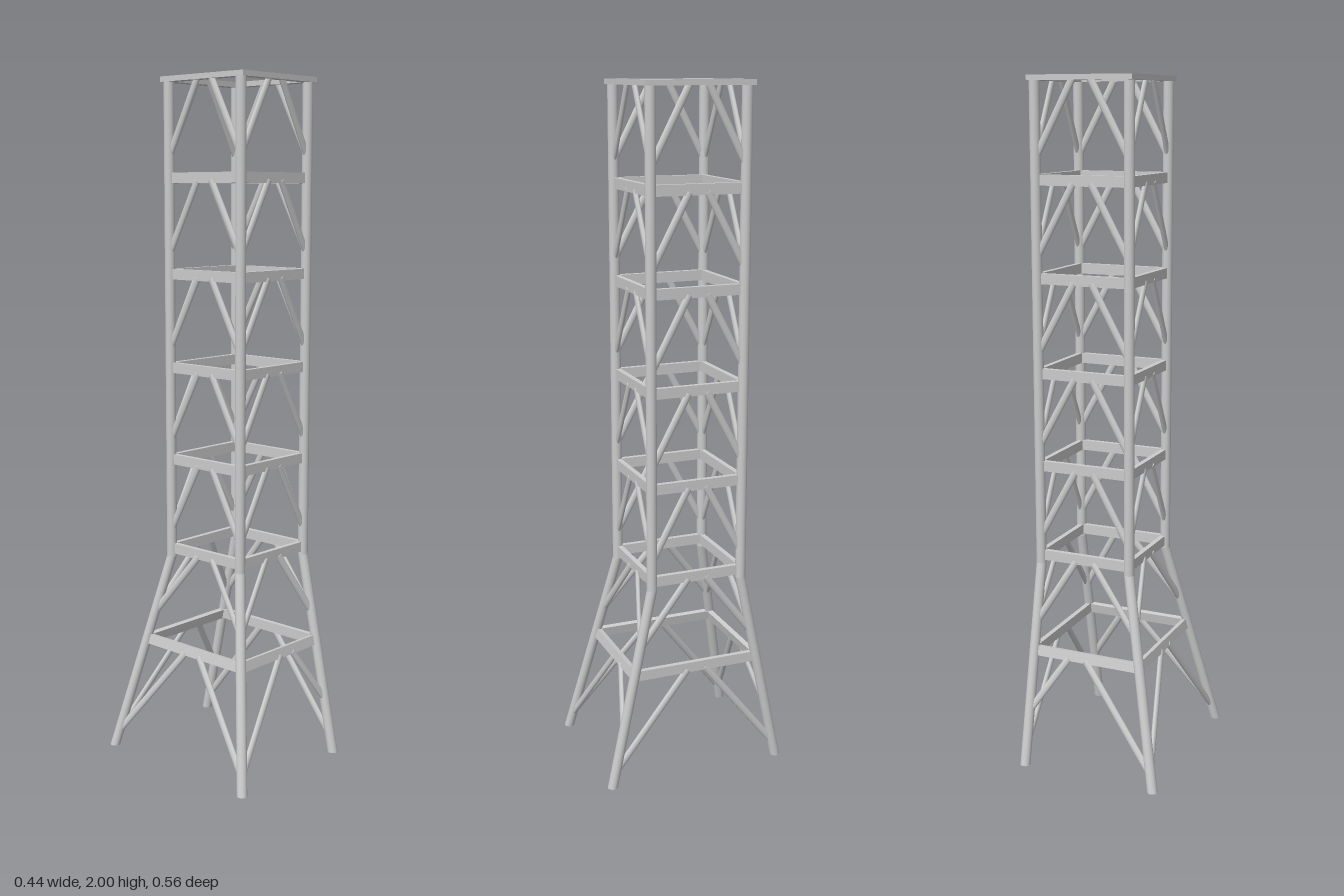
import * as THREE from 'three';

const V = (x, y, z) => new THREE.Vector3(x, y, z);
const LEG_R = 0.015, BEND = 0.6, TOP = 2;
const XL = -0.079, XR = 0.205; // leg centrelines above the bend
const LEG_Z = 0.138, FRAME_Z = 0.143;

// Each leg: foot position and bend position, in order round the tower
const LEGS = [
  { foot: V(-0.207, 0, 0.263), knee: V(XL, BEND, LEG_Z) },
  { foot: V(XR, 0, 0.263), knee: V(XR, BEND, LEG_Z) },
  { foot: V(XR, 0, -0.263), knee: V(XR, BEND, -LEG_Z) },
  { foot: V(-0.207, 0, -0.263), knee: V(XL, BEND, -LEG_Z) },
];

// Point on a leg's centreline at height y
function legAt(leg, y) {
  const p = leg.foot.clone().lerp(leg.knee, Math.min(y / BEND, 1));
  p.y = y;
  return p;
}

export function createModel() {
  const group = new THREE.Group();
  const mat = new THREE.MeshStandardMaterial({ color: 0xcccccc });

  const add = (geo, name) => {
    const mesh = new THREE.Mesh(geo, mat);
    mesh.name = name;
    group.add(mesh);
    return mesh;
  };

  // Leg section with level ends: an upright cylinder sheared along its axis
  const legSection = (a, b, name) => {
    const h = b.y - a.y;
    const geo = new THREE.CylinderGeometry(LEG_R, LEG_R, h, 24);
    geo.applyMatrix4(new THREE.Matrix4().set(
      1, (b.x - a.x) / h, 0, 0,
      0, 1, 0, 0,
      0, (b.z - a.z) / h, 1, 0,
      0, 0, 0, 1));
    add(geo, name).position.copy(a).lerp(b, 0.5);
  };

  // Lay a member from a to b: its x runs along, its y follows up, its z faces outward
  const member = (makeGeo, a, b, up, inset, name) => {
    const along = b.clone().sub(a);
    const mesh = add(makeGeo(along.length()), name);
    along.normalize();
    const u = up.clone().addScaledVector(along, -up.dot(along)).normalize();
    const out = along.clone().cross(u);
    mesh.quaternion.setFromRotationMatrix(new THREE.Matrix4().makeBasis(along, u, out));
    mesh.position.copy(a).lerp(b, 0.5).addScaledVector(out, -inset);
  };
  const barGeo = (len) => new THREE.BoxGeometry(len, 0.03, 0.015);
  // Braces are oval rods, wider in the plane of the face
  const braceGeo = (len) => new THREE.CylinderGeometry(1, 1, len, 20)
    .rotateZ(-Math.PI / 2).scale(1, 0.0105, 0.007);

  // Legs: splayed lower part, vertical upper part
  for (const leg of LEGS) {
    legSection(leg.foot, leg.knee, 'lowerLeg');
    legSection(leg.knee, legAt(leg, TOP - 0.01), 'upperLeg');
  }

  // Cross beams and paired diagonal braces on each of the four faces
  const levels = [0.341, 0.624, 0.897, 1.171, 1.444, 1.718, 1.992];
  LEGS.forEach((legA, i) => {
    const legB = LEGS[(i + 1) % 4];
    const kneeMid = legA.knee.clone().lerp(legB.knee, 0.5);
    levels.forEach((y, level) => {
      const a = legAt(legA, y), b = legAt(legB, y);
      const isTop = level === levels.length - 1;
      const up = legAt(legA, y + 0.01).add(legAt(legB, y + 0.01))
        .sub(legAt(legA, y - 0.01)).sub(legAt(legB, y - 0.01));
      if (!isTop) member(barGeo, a, b, up, 0.003, 'crossBeam');

      // Braces run from each leg up to near the middle of the beam
      const along = b.clone().sub(a).normalize();
      const endA = legAt(legA, isTop ? y - 0.003 : y - 0.007);
      const mid = endA.clone().addScaledVector(along, kneeMid.clone().sub(endA).dot(along));
      for (const [leg, side] of [[legA, -1], [legB, 1]]) {
        const splay = Math.abs(leg.foot.clone().sub(leg.knee).dot(along)) > 0.05;
        const drop = level === 0 ? (splay ? 0.295 : 0.18) : level === 1 ? 0.2 : 0.215;
        const end = mid.clone().addScaledVector(along, side * 0.027);
        member(braceGeo, legAt(leg, y - drop), end, up, 0, 'diagonalBrace');
      }
    });
  });

  // Flat square frame capping the legs
  const rect = (P, r) => new P([
    new THREE.Vector2(XL - r, -FRAME_Z - r), new THREE.Vector2(XR + r, -FRAME_Z - r),
    new THREE.Vector2(XR + r, FRAME_Z + r), new THREE.Vector2(XL - r, FRAME_Z + r)]);
  const shape = rect(THREE.Shape, LEG_R);
  shape.holes.push(rect(THREE.Path, -LEG_R));
  const frame = new THREE.ExtrudeGeometry(shape, { depth: 0.015, bevelEnabled: false });
  frame.rotateX(-Math.PI / 2);
  add(frame, 'topFrame').position.y = TOP - 0.015;

  return group;
}
